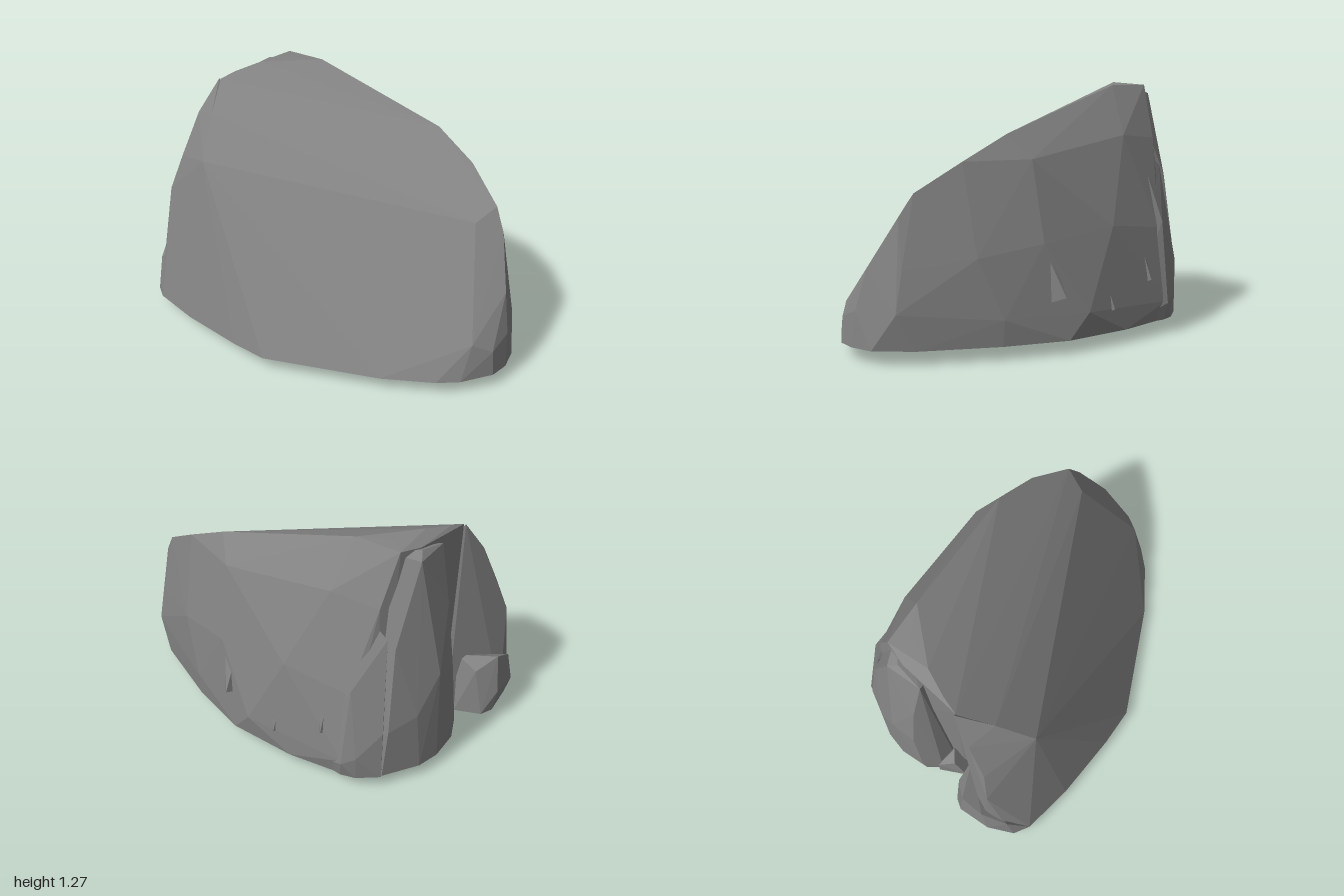
import * as THREE from 'three';
import { ConvexGeometry } from 'three/addons/geometries/ConvexGeometry.js';

const stone = new THREE.MeshStandardMaterial({ color: 0x848484, flatShading: true });
const BASE = 0.07;

// One faceted chunk of rock, wrapped around its corner points
function chunk(name, corners) {
  const points = corners.map(([x, y, z]) => new THREE.Vector3(x, y, z));
  const mesh = new THREE.Mesh(new ConvexGeometry(points), stone);
  mesh.name = name;
  return mesh;
}

// Corner points lying on the flat underside
const onBase = (outline) => outline.map(([x, z]) => [x, BASE, z]);

// Upright splinter: a narrow wedge leaning out of the back wall
function splinter([x, y, z], height, width, depth) {
  return chunk('splinter', [
    [x - width, y, z + 0.1], [x + width, y, z + 0.08],
    [x, y + 0.05, z - depth], [x - width * 0.4, y + height, z + 0.12],
    [x + width * 0.5, y + height * 0.6, z + 0.04],
  ]);
}

export function createModel() {
  const boulder = new THREE.Group();
  boulder.name = 'boulder';

  // Main mass: sloping front face, top ridge and rounded back wall
  boulder.add(chunk('mainMass', [
    ...onBase([
      [-0.07, 0.68], [0.52, 0.52], [0.77, 0.41], [0.87, 0.34], [0.98, 0.2],
      [1, 0.1], [0.98, -0.02], [0.84, -0.18], [0.5, -0.42], [0.2, -0.58],
      [-0.15, -0.65], [-0.45, -0.66], [-0.6, -0.55], [-0.72, 0], [-0.62, 0.57], [-0.27, 0.65],
    ]),
    // ridge
    [-0.66, 1.25, -0.29], [-0.6, 1.27, -0.4], [-0.53, 1.275, -0.32], [-0.37, 1.275, -0.37], [0.37, 1.07, -0.32],
    [0.6, 0.95, -0.25], [0.8, 0.81, -0.13], [0.86, 0.7, -0.09],
    // front face and right flank
    [-0.62, 0.91, 0.38], [-0.69, 1.09, 0.2], [-0.75, 1.22, 0.03], [-0.71, 1.245, -0.05], [-0.63, 1.275, -0.17],
    [0.74, 0.75, -0.02], [0.95, 0.45, 0.04], [0.99, 0.25, 0.08], [0.97, 0.2, 0.2], [0.89, 0.25, 0.27],
    // back wall
    [0.3, 0.95, -0.42], [-0.3, 1.03, -0.5], [-0.55, 1.0, -0.5], [-0.1, 0.6, -0.6],
    [0.3, 0.55, -0.5], [0.6, 0.5, -0.35], [0.88, 0.45, -0.13], [-0.45, 0.55, -0.62],
    [-0.45, 0.17, -0.68], [0.1, 0.2, -0.62], [0.5, 0.2, -0.43], [0.92, 0.25, -0.13],
  ]));

  // Left shoulder beside the sloping face
  boulder.add(chunk('leftShoulder', [
    ...onBase([[-0.07, 0.68], [-0.27, 0.65], [-0.62, 0.57], [-0.88, 0.48], [-0.95, 0.4], [-0.96, 0.25], [-0.74, 0.04], [-0.3, 0]]),
    [-0.62, 0.91, 0.38], [-0.69, 1.09, 0.2], [-0.76, 1.22, 0.03], [-0.6, 1.05, 0],
    [-0.83, 1.05, 0.13], [-0.88, 0.82, 0.23], [-0.94, 0.63, 0.27], [-0.95, 0.35, 0.3],
  ]));

  // Low lump at the foot of the shoulder
  boulder.add(chunk('footLump', [
    ...onBase([[-0.88, 0.48], [-0.95, 0.42], [-0.97, 0.3], [-0.96, 0.12], [-0.92, 0.06], [-0.78, 0.03], [-0.7, 0.3]]),
    [-1, 0.18, 0.29], [-0.98, 0.36, 0.25], [-0.96, 0.42, 0.13], [-0.87, 0.34, 0.06],
    [-0.98, 0.2, 0.12], [-0.76, 0.4, 0.08], [-0.95, 0.25, 0.38],
  ]));

  // Small stone wedged at the foot of the groove
  boulder.add(chunk('grooveStone', [
    ...onBase([[-0.82, -0.1], [-0.78, -0.03], [-0.78, 0.04], [-0.65, 0.05], [-0.65, -0.1]]),
    [-0.82, 0.18, -0.1], [-0.78, 0.22, -0.02], [-0.72, 0.28, -0.05],
  ]));

  // Buttress behind the vertical groove
  boulder.add(chunk('backButtress', [
    ...onBase([[-0.72, -0.05], [-0.8, -0.09], [-0.84, -0.17], [-0.82, -0.33], [-0.77, -0.44], [-0.63, -0.59], [-0.4, -0.5], [-0.4, -0.1]]),
    [-0.85, 0.2, -0.18], [-0.83, 0.55, -0.21], [-0.81, 0.6, -0.34], [-0.78, 0.92, -0.2],
    [-0.72, 1.22, -0.17], [-0.67, 1.25, -0.31], [-0.69, 1.22, -0.36], [-0.5, 1.25, -0.4], [-0.5, 1.15, -0.15],
    [-0.64, 0.8, -0.51], [-0.75, 0.4, -0.46], [-0.65, 0.35, -0.58],
  ]));

  // Pillar rounding off the back corner
  boulder.add(chunk('backPillar', [
    ...onBase([[-0.63, -0.6], [-0.52, -0.66], [-0.44, -0.67], [-0.2, -0.6], [-0.5, -0.4]]),
    [-0.45, 0.16, -0.69], [-0.52, 0.2, -0.67], [-0.63, 0.35, -0.6], [-0.47, 0.58, -0.63],
    [-0.6, 0.85, -0.51], [-0.42, 1.0, -0.49], [-0.45, 0.8, -0.4],
  ]));

  // Splinters on the back wall
  const splinters = [
    [[0.24, 0.24, -0.55], 0.4, 0.08, 0.04],
    [[-0.06, 0.14, -0.62], 0.5, 0.08, 0.03],
    [[-0.33, 0.25, -0.64], 0.5, 0.07, 0.03],
  ];
  for (const s of splinters) boulder.add(splinter(...s));

  // Two blunt knobs under the left side
  boulder.add(chunk('frontKnob', [
    [-0.95, 0.08, 0.25], [-0.87, 0.08, 0.34], [-0.65, 0.08, 0.29], [-0.72, 0.08, 0], [-0.83, 0.01, 0.18],
  ]));
  boulder.add(chunk('backKnob', [
    [-0.8, 0.08, -0.2], [-0.74, 0.08, -0.33], [-0.48, 0.08, -0.16], [-0.76, 0.08, 0.03], [-0.7, 0, -0.16],
  ]));

  return boulder;
}
